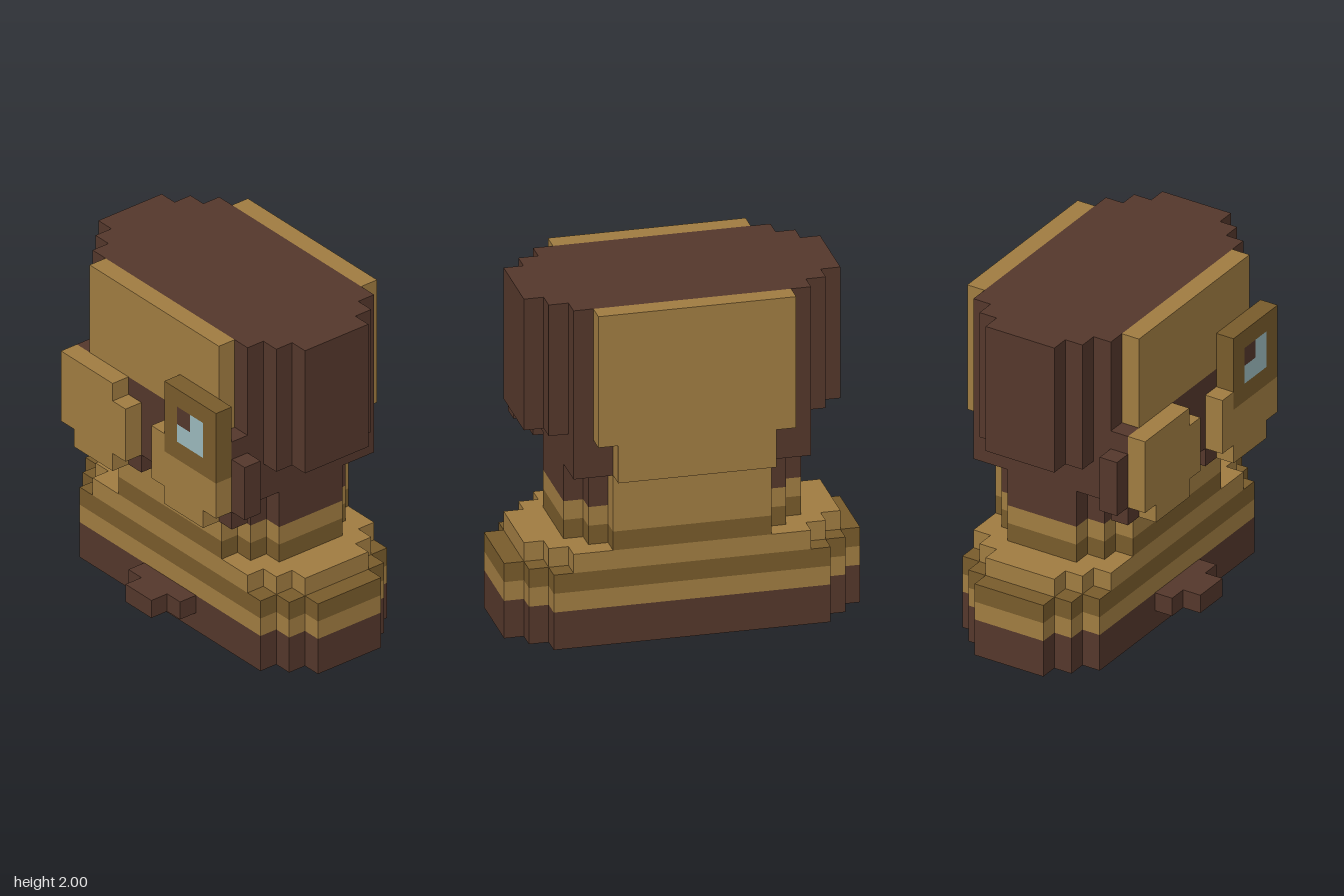
import * as THREE from 'three';

const U = 1 / 9; // one block

const mat = (name, color) => {
  const m = new THREE.MeshStandardMaterial({ color });
  m.name = name;
  return m;
};

export function createModel() {
  const model = new THREE.Group();
  model.name = 'bust';
  const brown = mat('dark brown', 0x54372b);
  const tan = mat('tan', 0xa07c41);
  const mustard = mat('dark mustard', 0x785b2b);
  const blue = mat('pale blue', 0x9bb9bc);

  const add = (name, geometry, material) => {
    geometry.scale(U, U, U);
    const mesh = new THREE.Mesh(geometry, material);
    mesh.name = name;
    model.add(mesh);
  };

  // Box given by its limits in blocks
  const box = (name, material, x0, x1, y0, y1, z0, z1) => {
    const g = new THREE.BoxGeometry(x1 - x0, y1 - y0, z1 - z0);
    g.translate((x0 + x1) / 2, (y0 + y1) / 2, (z0 + z1) / 2);
    add(name, g, material);
  };

  // Horizontal slab with stepped corners, w blocks wide to each side
  const slab = (name, material, w, y0, y1, steps = 3) => {
    const half = [];
    for (let i = steps - 1; i >= 0; i--) half.push([w - i, 1.5 + i], [w - i, 1.5 + i - 1]);
    half.pop();
    for (let i = 0; i < steps; i++) half.push([w - i, -2.5 - i], [w - i - 1, -2.5 - i]);
    half.pop();
    const points = [...half, ...half.map(([x, z]) => [-x, z]).reverse()];
    const shape = new THREE.Shape(points.map(([x, z]) => new THREE.Vector2(x, -z)));
    const g = new THREE.ExtrudeGeometry(shape, { depth: y1 - y0, bevelEnabled: false });
    g.rotateX(-Math.PI / 2);
    g.translate(0, y0, 0);
    add(name, g, material);
  };

  // Upright plate with a stepped outline
  const plate = (name, material, points, z0, z1, hole) => {
    const toV = ([x, y]) => new THREE.Vector2(x, y);
    const shape = new THREE.Shape(points.map(toV));
    if (hole) shape.holes.push(new THREE.Path(hole.map(toV)));
    const g = new THREE.ExtrudeGeometry(shape, { depth: z1 - z0, bevelEnabled: false });
    g.translate(0, 0, z0);
    add(name, g, material);
  };

  // Base and shoulders
  slab('base', brown, 9, 0, 2);
  slab('baseBand', tan, 9, 2, 3);
  slab('baseTrim', mustard, 9, 3, 4);
  slab('shoulders', tan, 8, 4, 5);
  box('buckle', brown, -2, 2, 1, 2, 3.5, 4.5);
  box('buckleFront', brown, -1, 1, 1, 2, 4.5, 5.5);

  // Neck
  slab('collar', mustard, 6, 5, 6);
  slab('neck', tan, 6, 6, 7);
  slab('neckHair', brown, 6, 7, 9, 2);
  box('throat', tan, -4, 4, 7, 8, 2.5, 3.5);
  box('chin', brown, -4, 4, 8, 9, 2.5, 3.5);
  box('nape', tan, -4, 4, 7, 9, -4.5, -3.5);

  // Head
  box('jaw', brown, -6, 6, 9, 11, -4.5, 3.5);
  slab('hair', brown, 8, 11, 18);
  plate('face', brown, [
    [-6, 8], [-1, 8], [-1, 9], [1, 9], [1, 8], [6, 8], [6, 9], [7, 9], [7, 12], [6, 12],
    [6, 13], [-6, 13], [-6, 12], [-7, 12], [-7, 9], [-6, 9],
  ], 3.5, 4.5);
  box('forehead', tan, -5, 5, 13, 18, 3.5, 4.5);
  plate('backPanel', tan, [
    [-4, 9], [4, 9], [4, 11], [5, 11], [5, 18], [-5, 18], [-5, 11], [-4, 11],
  ], -5.5, -4.5);

  // Cheeks; the left one wraps under the eyepiece
  plate('rightCheek', tan, [
    [-5, 8], [-2, 8], [-2, 9], [-1, 9], [-1, 12], [-2, 12], [-2, 13], [-6, 13], [-6, 9], [-5, 9],
  ], 4.5, 5.5);
  plate('leftCheek', tan, [
    [2, 8], [5, 8], [5, 9], [6, 9], [6, 11], [2, 11], [2, 12], [1, 12], [1, 9], [2, 9],
  ], 4.5, 5.5);

  // Eyepiece
  plate('eyepieceFrame', mustard, [[2, 11], [6, 11], [6, 15], [2, 15]], 4.5, 5.5,
    [[3, 12], [3, 14], [5, 14], [5, 12]]);
  plate('lens', blue, [[3, 12], [5, 12], [5, 14], [4, 14], [4, 13], [3, 13]], 4.5, 5.5);
  box('pupil', brown, 3, 4, 13, 14, 4.5, 5.5);

  return model;
}
